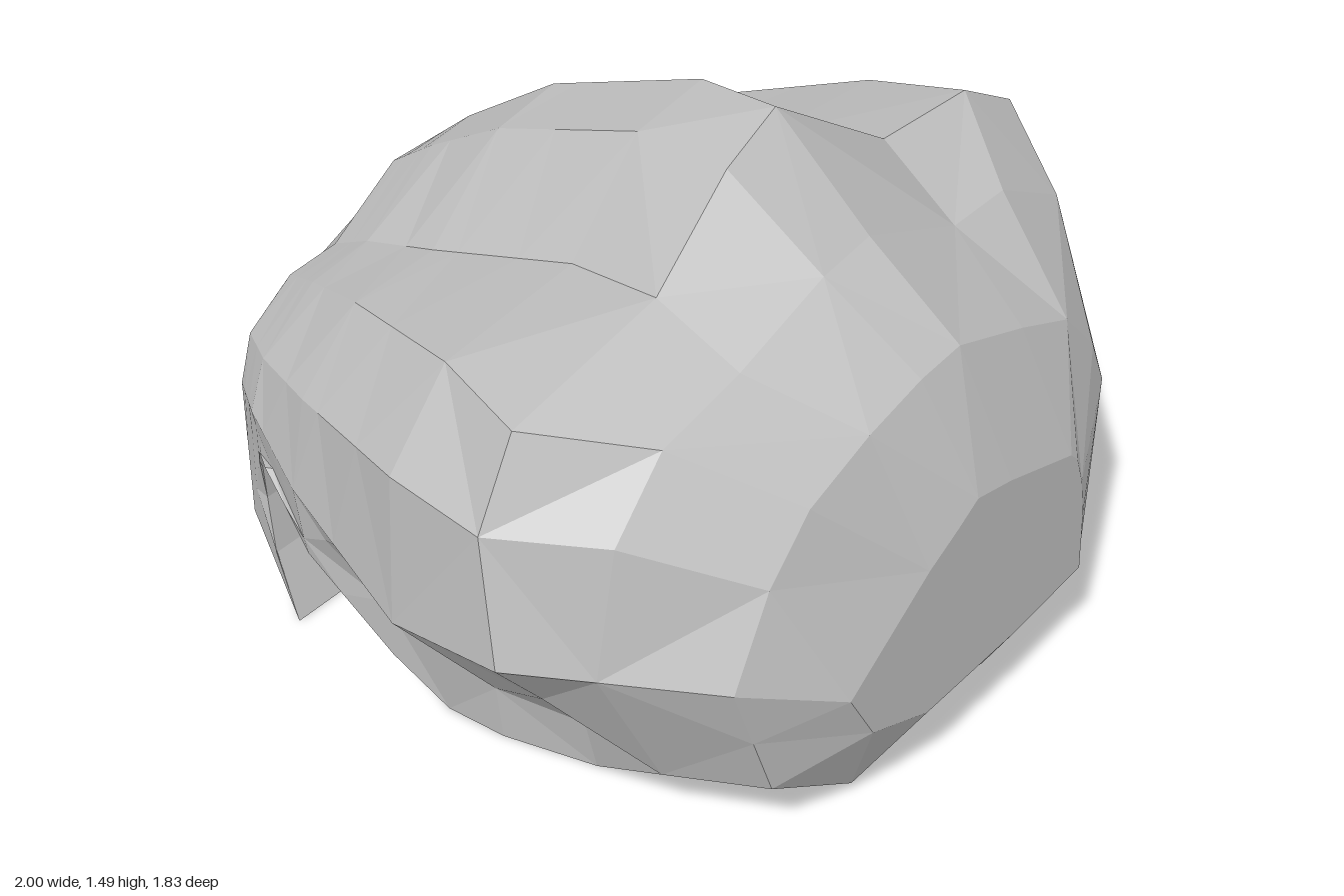
import * as THREE from 'three';

// One open cross-section at depth z; a point may carry its own depth as a third value.
// Each side runs upward: lower flank, widest, shoulder, lobe top, groove.
// A mid flank point is added halfway between the first two.
function section(z, left, ridge, right = left) {
  const point = ([x, y, ownZ = z]) => new THREE.Vector3(x, y, ownZ);
  const side = (points) => {
    const p = points.map(point);
    p.splice(1, 0, p[0].clone().lerp(p[1], 0.5));
    return p;
  };
  const mirror = (p) => p.setX(-p.x);
  return [...side(left).map(mirror), ...ridge.map(point), ...side(right).reverse()];
}

// Close a section below with two feet and a keel between them
function closeRing(arch, [halfWidth, y, z, keelY = y, keelZ = z]) {
  return [
    new THREE.Vector3(-halfWidth, y, z),
    ...arch,
    new THREE.Vector3(halfWidth, y, z),
    new THREE.Vector3(0, keelY, keelZ),
  ];
}

// Front half, front to back
const frontSections = [
  section(0.91,
    [[.38, .35], [.47, .5], [.32, .6], [.2, .68], [.1, .73]],
    [[-.03, .77], [.1, .74]],
    [[.44, .28], [.43, .45], [.41, .55], [.38, .63], [.35, .66]]),
  section(0.78,
    [[.56, .24], [.7, .6], [.59, .81], [.46, .94], [.26, 1.01]],
    [[-.08, 1.05], [.06, 1.06]],
    [[.54, .16], [.69, .62], [.63, .75], [.5, .89], [.31, .97]]),
  section(0.55,
    [[.65, .21], [.86, .62], [.8, .93], [.65, 1.09], [.4, 1.14]],
    [[-.12, 1.23], [.04, 1.25]],
    [[.57, .16], [.86, .58], [.8, .98], [.56, 1.11], [.37, 1.11]]),
  section(0.33,
    [[.59, .16, .28], [1, .66, .4], [.96, .95], [.85, 1.15], [.4, 1.23]],
    [[-.17, 1.43], [.02, 1.485, .31]],
    [[.59, .16, .28], [1, .65, .4], [.92, 1.1], [.72, 1.215], [.4, 1.235]]),
];
const frontFeet = [
  [.17, .26, .91], [.26, .035, .78, .1], [.3, .03, .55, .09], [.55, 0, .28],
];

// Rear half: guide sections that the tunnel stations are blended from
const rearGuides = [
  section(0.05,
    [[.63, .16], [.94, .56], [.92, .94], [.74, 1.13], [.34, 1.165]],
    [[-.12, 1.39], [.1, 1.42]]),
  section(-0.38,
    [[.78, .47], [.8, .62], [.75, .84], [.57, 1], [.32, 1.01]],
    [[-.09, 1.22], [.1, 1.25]]),
  section(-0.63,
    [[.66, .55], [.68, .65], [.63, .77], [.46, .89], [.28, .91]],
    [[-.05, 1.06], [.08, 1.08]]),
  section(-0.78,
    [[.57, .22], [.57, .6], [.53, .72], [.39, .81], [.24, .82]],
    [[-.03, .95], [.07, .95]]),
  section(-0.885,
    [[.46, .22], [.45, .54], [.42, .63], [.32, .7], [.19, .72]],
    [[-.02, .79], [.07, .77]]),
  section(-0.915,
    [[.4, .2], [.4, .42], [.33, .47], [.22, .52], [.1, .58]],
    [[-.01, .63], [.05, .62]],
    [[.4, .2], [.4, .55], [.33, .57], [.24, .59], [.16, .6]]),
];

// Tunnel stations: depth of the arch, then the foot's half width, height and depth
const tunnel = [
  [.05, [.61, 0, .05]], [-.11, [.62, 0, -.11]], [-.2, [.7, .17, -.2]],
  [-.3, [.75, .33, -.3]], [-.38, [.77, .42, -.38]], [-.48, [.74, .49, -.48]],
  [-.56, [.7, .525, -.58]], [-.63, [.65, .505, -.65]], [-.67, [.61, .42, -.69]],
  [-.7, [.6, .32, -.695]], [-.73, [.61, .17, -.67]], [-.78, [.62, 0, -.6]],
  [-.885, [.54, 0, -.7, 0, -.74]], [-.915, [.4, 0, -.82, 0, -.86]],
];

function rearArch(z) {
  let k = 0;
  while (k < rearGuides.length - 2 && z < rearGuides[k + 1][0].z) k++;
  const a = rearGuides[k], b = rearGuides[k + 1];
  const t = (z - a[0].z) / (b[0].z - a[0].z);
  return a.map((p, i) => p.clone().lerp(b[i], t));
}

// Skin the rings and close both ends
function loft(rings) {
  const positions = [];
  const triangle = (...points) => points.forEach((p) => positions.push(p.x, p.y, p.z));
  const n = rings[0].length;
  const middle = (ring) => ring
    .reduce((sum, p) => sum.add(p), new THREE.Vector3())
    .divideScalar(n);
  const front = rings[0], back = rings[rings.length - 1];
  const frontMiddle = middle(front), backMiddle = middle(back);
  for (let j = 0; j < n; j++) {
    const m = (j + 1) % n;
    for (let i = 0; i < rings.length - 1; i++) {
      const a = rings[i][j], b = rings[i][m], c = rings[i + 1][m], d = rings[i + 1][j];
      if ((i + j) % 2) {
        triangle(a, b, c);
        triangle(a, c, d);
      } else {
        triangle(a, b, d);
        triangle(b, c, d);
      }
    }
    triangle(frontMiddle, front[m], front[j]);
    triangle(backMiddle, back[j], back[m]);
  }
  const geometry = new THREE.BufferGeometry();
  geometry.setAttribute('position', new THREE.Float32BufferAttribute(positions, 3));
  geometry.computeVertexNormals();
  return geometry;
}

export function createModel() {
  const stone = new THREE.MeshStandardMaterial({ color: 0xbfbfbf });
  stone.name = 'stone grey';
  stone.flatShading = true;

  const rings = [
    ...frontSections.map((arch, i) => closeRing(arch, frontFeet[i])),
    ...tunnel.map(([z, foot]) => closeRing(rearArch(z), foot)),
  ];
  const body = new THREE.Mesh(loft(rings), stone);
  body.name = 'lobedBodyWithTunnel';

  const model = new THREE.Group();
  model.name = 'facetedStone';
  model.add(body);
  return model;
}
